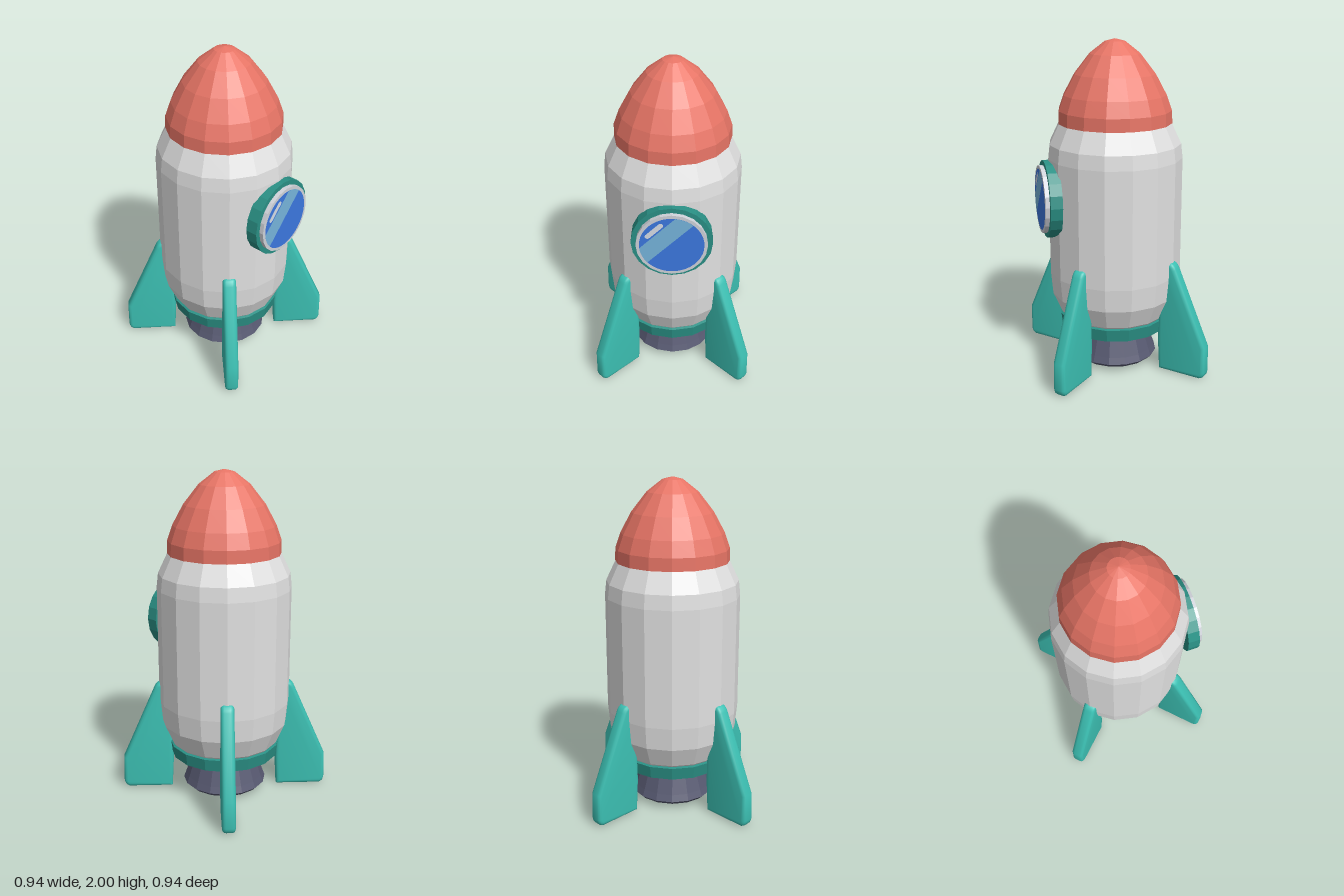
import * as THREE from 'three';
import { toCreasedNormals } from 'three/addons/utils/BufferGeometryUtils.js';

const material = (name, color, flatShading = false) => {
  const m = new THREE.MeshStandardMaterial({ color, flatShading });
  m.name = name;
  return m;
};

export function createModel() {
  const group = new THREE.Group();
  const white = material('hull white', 0xe0e0e0, true);
  const red = material('nose red', 0xe87566, true);
  const darkTeal = material('dark teal', 0x2a9085, true);
  const teal = material('fin teal', 0x3cc0b3);
  const slate = material('nozzle slate', 0x585a72, true);
  const silver = material('frame silver', 0xd0d3da, true);
  const blue = material('glass blue', 0x3c78e0);
  const paleBlue = material('glass pale blue', 0x76b4dc);
  const glint = material('glint white', 0xdde4ee);

  const add = (name, geometry, mat, parent = group) => {
    const mesh = new THREE.Mesh(geometry, mat);
    mesh.name = name;
    parent.add(mesh);
    return mesh;
  };
  // Profiles run from bottom to top as [radius, height]
  const lathe = (name, profile, mat) =>
    add(name, new THREE.LatheGeometry(profile.map(([r, y]) => new THREE.Vector2(r, y)), 16), mat);

  // Rocket body, stacked along the axis
  lathe('noseCone', [[0, 1.515], [0.34, 1.515], [0.337, 1.59], [0.305, 1.68], [0.24, 1.8],
    [0.15, 1.915], [0.06, 1.985], [0, 2]], red);
  lathe('hull', [[0, 0.32], [0.325, 0.32], [0.338, 0.335], [0.392, 0.46], [0.405, 0.6],
    [0.405, 1.31], [0.395, 1.395], [0.335, 1.52], [0, 1.52]], white);
  lathe('baseBand', [[0, 0.215], [0.27, 0.215], [0.335, 0.245], [0.345, 0.32], [0.32, 0.328], [0, 0.328]], darkTeal);
  lathe('nozzle', [[0.195, 0.04], [0.2, 0.026], [0.235, 0.026], [0.26, 0.05], [0.245, 0.09], [0.2, 0.225]], slate);
  lathe('nozzleCore', [[0, 0.035], [0.2, 0.035]], darkTeal);

  // Four diagonal fins with rounded edges; outline is inset by the bevel
  const bevel = 0.022;
  const finShape = new THREE.Shape();
  finShape.moveTo(0.355, 0.022);
  finShape.lineTo(0.605, 0.022);
  finShape.quadraticCurveTo(0.618, 0.025, 0.62, 0.045);
  finShape.lineTo(0.617, 0.2);
  finShape.lineTo(0.415, 0.66);
  finShape.quadraticCurveTo(0.405, 0.685, 0.385, 0.685);
  finShape.lineTo(0.35, 0.67);
  finShape.lineTo(0.35, 0.42);
  finShape.lineTo(0.345, 0.2);
  finShape.closePath();
  const finGeometry = toCreasedNormals(new THREE.ExtrudeGeometry(finShape, {
    depth: 0.08 - 2 * bevel, bevelSize: bevel, bevelThickness: bevel, bevelSegments: 3, curveSegments: 4,
  }).translate(0, 0, bevel - 0.04), 0.7);
  ['frontLeftFin', 'backLeftFin', 'backRightFin', 'frontRightFin'].forEach((name, i) => {
    add(name, finGeometry, teal).rotation.y = -Math.PI / 4 + i * Math.PI / 2;
  });

  // Porthole on the front
  const porthole = new THREE.Group();
  porthole.name = 'porthole';
  porthole.position.y = 1.07;
  group.add(porthole);
  const disc = (name, radius, back, front, mat) => add(name,
    new THREE.CylinderGeometry(radius, radius, front - back, 20).rotateX(Math.PI / 2)
      .translate(0, 0, (back + front) / 2), mat, porthole);
  disc('portholeRim', 0.232, 0.363, 0.434, darkTeal);
  disc('portholeFrame', 0.203, 0.43, 0.459, silver);

  // Glass with diagonal reflections
  const R = 0.183;
  add('glass', new THREE.CircleGeometry(R, 40).translate(0, 0, 0.4605), blue, porthole);
  const low = Math.asin(0.013 / R), high = Math.asin(0.115 / R);
  const band = new THREE.Shape();
  band.absarc(0, 0, R, low, high, false);
  band.absarc(0, 0, R, Math.PI - high, Math.PI - low, false);
  band.closePath();
  add('reflectionBand', new THREE.ShapeGeometry(band).rotateZ(Math.PI / 4).translate(0, 0, 0.462), paleBlue, porthole);
  const streak = new THREE.Shape();
  streak.absarc(0.052, 0.139, 0.015, -Math.PI / 2, Math.PI / 2, false);
  streak.absarc(-0.052, 0.139, 0.015, Math.PI / 2, Math.PI * 1.5, false);
  streak.closePath();
  add('glint', new THREE.ShapeGeometry(streak, 6).rotateZ(Math.PI / 4).translate(0, 0, 0.462), glint, porthole);

  return group;
}
